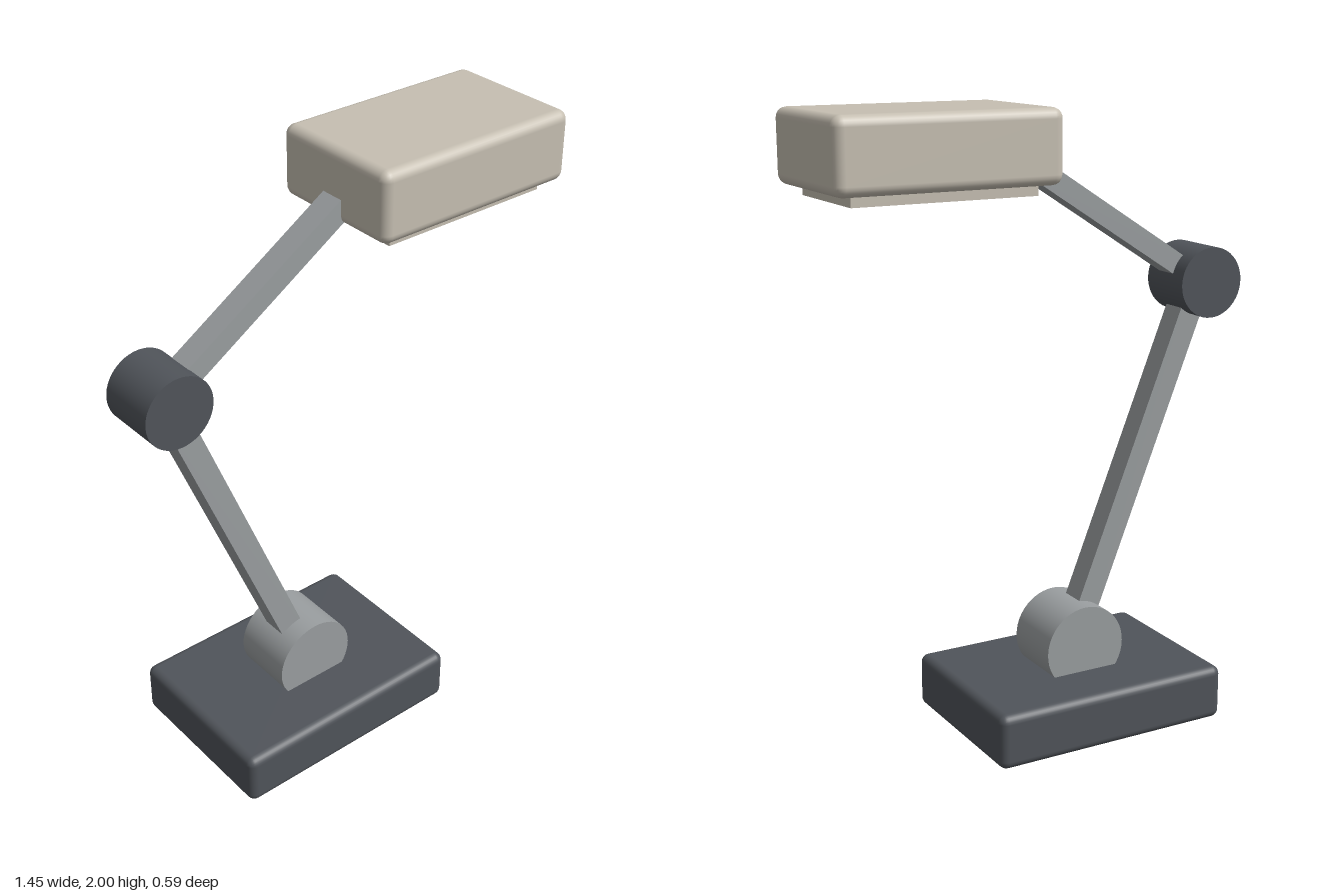
import * as THREE from 'three';
import { RoundedBoxGeometry } from 'three/addons/geometries/RoundedBoxGeometry.js';

const material = (name, color) => {
  const m = new THREE.MeshStandardMaterial({ color });
  m.name = name;
  return m;
};

export function createModel() {
  const lamp = new THREE.Group();
  lamp.name = 'deskLamp';

  const charcoal = material('charcoal', 0x50545a);
  const steel = material('steel grey', 0x9a9ea0);
  const beige = material('warm beige', 0xc6bfb2);

  const add = (name, geometry, mat, x, y, z = 0) => {
    const mesh = new THREE.Mesh(geometry, mat);
    mesh.name = name;
    mesh.position.set(x, y, z);
    lamp.add(mesh);
    return mesh;
  };

  // Drum lying along z
  const drum = (name, radius, width, mat, x, y) =>
    add(name, new THREE.CylinderGeometry(radius, radius, width, 48).rotateX(Math.PI / 2), mat, x, y);

  // Square bar between two points in the xy plane
  const bar = (name, a, b, thickness, depth) => {
    const dx = b[0] - a[0], dy = b[1] - a[1];
    const geometry = new THREE.BoxGeometry(Math.hypot(dx, dy), thickness, depth);
    const mesh = add(name, geometry, steel, (a[0] + b[0]) / 2, (a[1] + b[1]) / 2);
    mesh.rotation.z = Math.atan2(dy, dx);
  };

  const hinge = [-0.15, 0.26];
  const elbow = [-0.615, 1.42];
  const neck = [0.06, 1.85];

  // Base and its hinge
  add('base', new RoundedBoxGeometry(0.82, 0.18, 0.59, 3, 0.028), charcoal, -0.15, 0.09);
  drum('baseHinge', 0.14, 0.21, steel, ...hinge);

  // Arms and elbow
  bar('lowerArm', hinge, elbow, 0.08, 0.085);
  drum('elbowJoint', 0.114, 0.196, charcoal, ...elbow);
  bar('upperArm', elbow, neck, 0.068, 0.08);

  // Head with the light panel below it
  add('head', new RoundedBoxGeometry(0.718, 0.224, 0.46, 3, 0.032), beige, 0.365, 1.888);
  add('lightPanel', new THREE.BoxGeometry(0.59, 0.06, 0.356), beige, 0.365, 1.775);

  return lamp;
}
